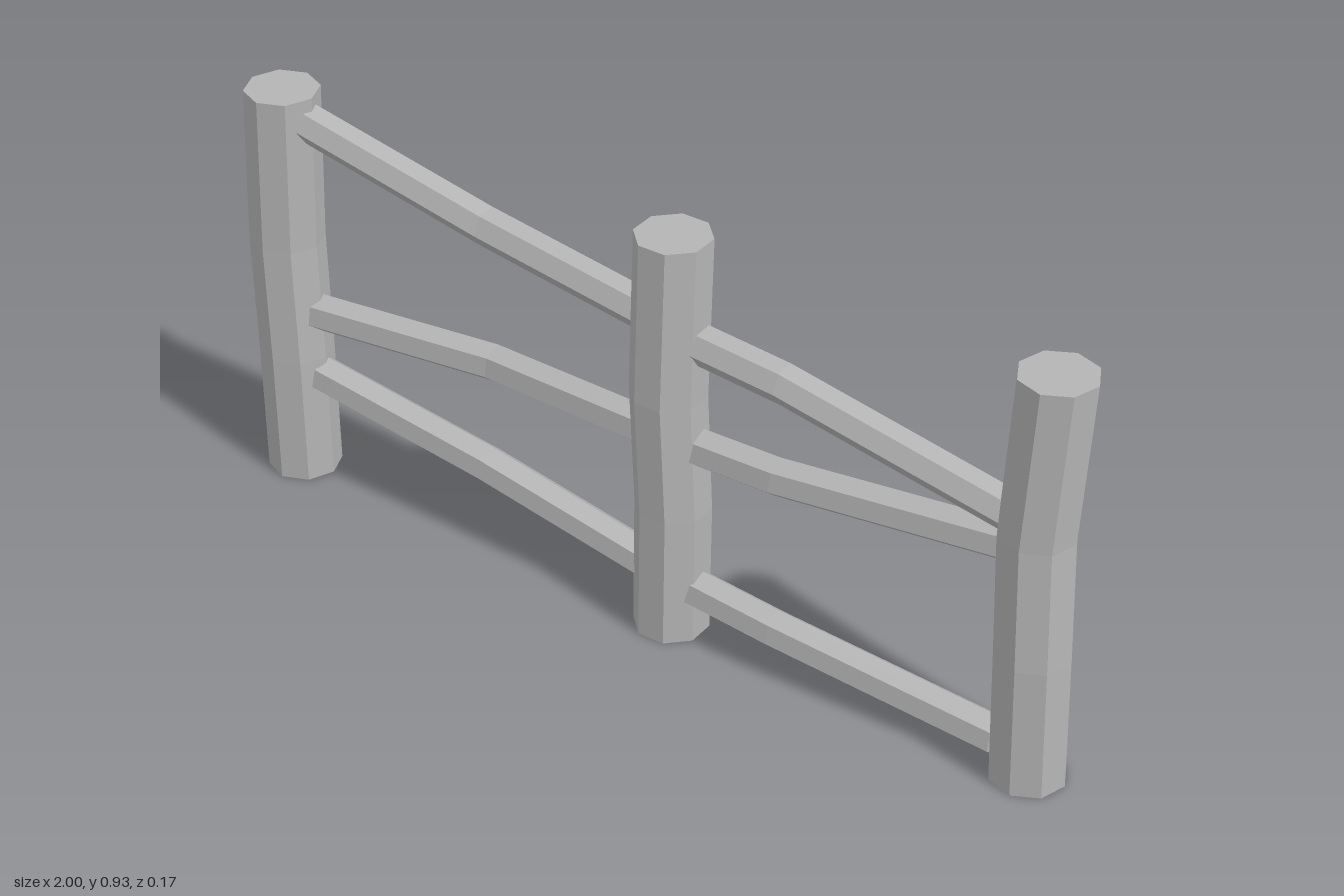
import * as THREE from 'three';

const X = new THREE.Vector3(1, 0, 0);
const Y = new THREE.Vector3(0, 1, 0);
const Z = new THREE.Vector3(0, 0, 1);

// Closed faceted log through rings [x, y, z, radius]; u and v span its cross-section
function logGeometry(rings, sides, u, v, turnDegrees) {
  const turn = THREE.MathUtils.degToRad(turnDegrees);
  const centres = rings.map(([x, y, z]) => new THREE.Vector3(x, y, z));
  const corner = (i, j) => {
    const a = turn + (j / sides) * Math.PI * 2;
    return centres[i].clone()
      .addScaledVector(u, Math.cos(a) * rings[i][3])
      .addScaledVector(v, Math.sin(a) * rings[i][3]);
  };
  const points = [];
  const last = rings.length - 1;
  for (let j = 0; j < sides; j++) {
    for (let i = 0; i < last; i++) {
      const a = corner(i, j), b = corner(i, j + 1);
      const c = corner(i + 1, j + 1), d = corner(i + 1, j);
      points.push(a, b, c, a, c, d);
    }
    // End caps
    points.push(centres[0], corner(0, j + 1), corner(0, j));
    points.push(centres[last], corner(last, j), corner(last, j + 1));
  }
  const geometry = new THREE.BufferGeometry().setFromPoints(points);
  geometry.computeVertexNormals();
  return geometry;
}

export function createModel() {
  const group = new THREE.Group();
  const wood = new THREE.MeshStandardMaterial({ color: 0xb4b4b4 });
  wood.name = 'grey wood';

  const add = (name, geometry) => {
    const mesh = new THREE.Mesh(geometry, wood);
    mesh.name = name;
    group.add(mesh);
  };

  // Upright posts: [x, z] of the axis at each height, gently crooked
  const heights = [0, 0.3, 0.57, 0.925];
  const posts = [
    { name: 'rightPost', turn: 0, axis: [[-0.915, -0.008], [-0.915, -0.004], [-0.924, -0.006], [-0.915, -0.008]] },
    { name: 'middlePost', turn: 23, axis: [[0.076, 0], [0.081, 0.003], [0.073, 0.01], [0.076, 0]] },
    { name: 'leftPost', turn: 5, axis: [[0.92, -0.006], [0.914, 0], [0.902, -0.004], [0.92, -0.006]] },
  ];
  for (const { name, turn, axis } of posts) {
    const rings = axis.map(([x, z], i) => [x, heights[i], z, 0.08]);
    add(name, logGeometry(rings, 8, Z, X, turn));
  }

  // Rails: [y, z] at the start, bend and end of each span
  const spans = { right: [-0.85, -0.4, 0.015], left: [0.135, 0.34, 0.85] };
  const rails = [
    ['right', 'Top', 35, [[0.862, -0.012], [0.765, -0.025], [0.72, -0.008]]],
    ['right', 'Middle', 50, [[0.405, -0.012], [0.43, -0.042], [0.45, -0.01]]],
    ['right', 'Bottom', 50, [[0.25, -0.01], [0.196, -0.008], [0.13, 0]]],
    ['left', 'Top', 35, [[0.7, 0], [0.685, 0.002], [0.583, -0.012]]],
    ['left', 'Middle', 50, [[0.46, 0.002], [0.475, 0.014], [0.52, -0.01]]],
    ['left', 'Bottom', 50, [[0.117, 0.005], [0.103, 0.01], [0.06, -0.005]]],
  ];
  for (const [side, level, turn, path] of rails) {
    const rings = path.map(([y, z], i) => [spans[side][i], y, z, 0.042]);
    add(`${side}${level}Rail`, logGeometry(rings, 6, Y, Z, turn));
  }

  return group;
}
